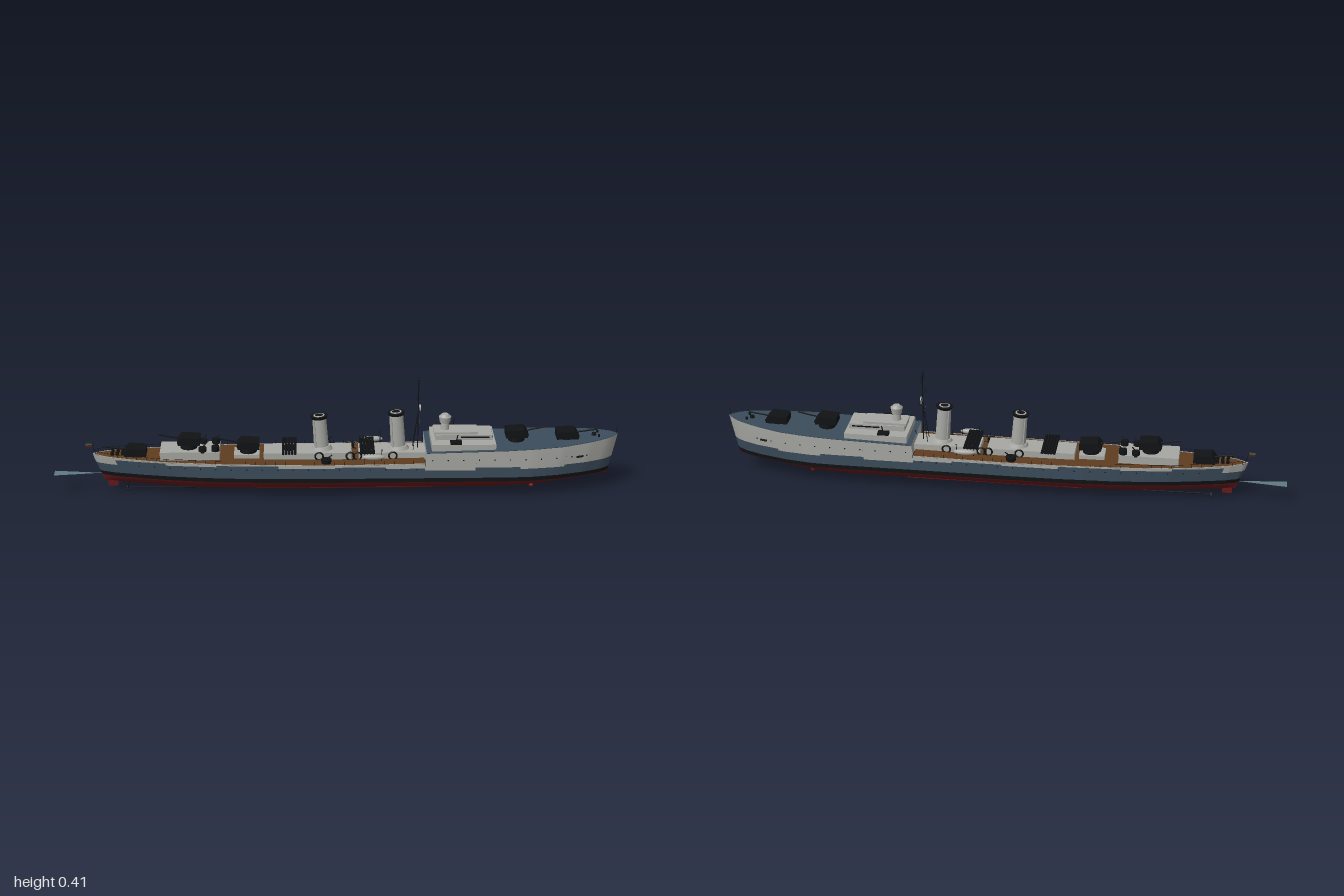
import * as THREE from 'three';

const mat = (name, color, side = THREE.FrontSide) => {
  const m = new THREE.MeshStandardMaterial({ color, side });
  m.name = name;
  return m;
};

// linear lookup in a short list of [x, value] points
const look = (pts, x) => {
  for (let i = 1; i < pts.length; i++) {
    if (x <= pts[i][0]) {
      const [a, va] = pts[i - 1], [b, vb] = pts[i];
      return va + (vb - va) * Math.max(0, (x - a) / (b - a));
    }
  }
  return pts[pts.length - 1][1];
};

const BEAM = [[-0.86, 0], [-0.85, 0.012], [-0.8, 0.032], [-0.7, 0.054], [-0.6, 0.07], [-0.4, 0.089], [-0.2, 0.098], [0, 0.1],
  [0.6, 0.1], [0.7, 0.097], [0.8, 0.086], [0.9, 0.061], [0.96, 0.036], [0.99, 0.014], [1, 0]];
const KEEL = [[-0.86, 0.042], [-0.7, 0.028], [-0.5, 0.012], [-0.3, 0.01], [0.55, 0.01], [0.7, 0.018], [0.85, 0.04], [1, 0.058]];
const AFT_SHEER = [[-0.86, 0.145], [-0.6, 0.138], [0, 0.134], [0.33, 0.138]];
const FORE_SHEER = [[0.32, 0.178], [0.6, 0.185], [0.8, 0.193], [1, 0.207]];
const BREAK = 0.32;
// stepped camouflage edge: [from, to, top of blue]
const CAMO = [[-0.86, -0.78, 0.115], [-0.78, -0.6, 0.134], [-0.6, -0.42, 0.126], [-0.42, -0.2, 0.131], [-0.2, 0, 0.122],
  [0, 0.18, 0.126], [0.18, BREAK, 0.12], [BREAK, 0.5, 0.112], [0.5, 0.66, 0.122], [0.66, 0.82, 0.115], [0.82, 1, 0.122]];

const sheer = (x) => look(x < BREAK ? AFT_SHEER : FORE_SHEER, x);

// hull point on the +z side for deck station x at height y
function hullPoint(x, y) {
  const s = (x + 0.86) / 1.86;
  const stern = -0.82 - 0.04 * Math.min(1, (y - 0.04) / 0.1);
  const stem = 0.968 + 0.032 * Math.min(1, (y - 0.058) / 0.149);
  const keel = look(KEEL, x);
  let w = look(BEAM, x);
  if (y < 0.07) w *= Math.pow(Math.max(0, 1 - Math.pow((0.07 - y) / (0.07 - keel), 1.5)), 0.8);
  const fine = Math.max(0, (x - 0.7) / 0.3) + Math.max(0, (-0.5 - x) / 0.36);
  w *= 1 - 0.2 * fine * Math.max(0, 1 - Math.max(0, y - 0.07) / 0.07);
  return [stern + (stem - stern) * s, y, w];
}

// smooth grid from f(u, v); its front is du x dv
function grid(f, nu, nv, flip = false) {
  const pos = [], idx = [];
  for (let j = 0; j <= nv; j++) for (let i = 0; i <= nu; i++) pos.push(...f(i / nu, j / nv));
  for (let j = 0; j < nv; j++) for (let i = 0; i < nu; i++) {
    const a = j * (nu + 1) + i, b = a + 1, c = a + nu + 1, d = c + 1;
    if (flip) idx.push(a, d, b, a, c, d);
    else idx.push(a, b, d, a, d, c);
  }
  const g = new THREE.BufferGeometry();
  g.setAttribute('position', new THREE.Float32BufferAttribute(pos, 3));
  g.setIndex(idx);
  g.computeVertexNormals();
  return g;
}

export function createModel() {
  const root = new THREE.Group();
  const grey = mat('light grey paint', 0xa6a7a2), blue = mat('blue grey paint', 0x3b4c5b), red = mat('red underwater paint', 0x641819),
    black = mat('black', 0x101214, THREE.DoubleSide), wood = mat('deck wood', 0x5f3d1f), wakeMat = mat('wake', 0x5f7a82, THREE.DoubleSide),
    green = mat('flag green', 0x2f6a3c, THREE.DoubleSide);

  const add = (name, geo, m, x = 0, y = 0, z = 0, parent = root) => {
    const mesh = new THREE.Mesh(geo, m);
    mesh.name = name;
    mesh.position.set(x, y, z);
    parent.add(mesh);
    return mesh;
  };
  // box spanning x0..x1 and y0..y1 with half width w
  const box = (name, m, x0, x1, y0, y1, w, z = 0, parent = root) =>
    add(name, new THREE.BoxGeometry(x1 - x0, y1 - y0, 2 * w), m, (x0 + x1) / 2, (y0 + y1) / 2, z, parent);
  const cyl = (name, m, rt, rb, h, x, y, z = 0, parent = root, n = 20) => add(name, new THREE.CylinderGeometry(rt, rb, h, n), m, x, y, z, parent);
  // thin rod between two points
  const rod = (name, m, a, b, r, parent = root) => {
    const A = new THREE.Vector3(...a), d = new THREE.Vector3(...b).sub(A);
    const mesh = cyl(name, m, r, r, d.length(), 0, 0, 0, parent, 6);
    mesh.position.copy(A).addScaledVector(d, 0.5);
    mesh.quaternion.setFromUnitVectors(new THREE.Vector3(0, 1, 0), d.normalize());
    return mesh;
  };

  // hull shell, both sides, in horizontal paint bands
  const band = (name, m, x0, x1, low, high, nu, nv) => {
    for (const s of [1, -1]) {
      add(name, grid((u, v) => {
        const x = x0 + (x1 - x0) * u, lo = low(x);
        const [px, py, pz] = hullPoint(x, lo + (high(x) - lo) * v);
        return [px, py, s * pz];
      }, nu, nv, s < 0), m);
    }
  };
  band('hullBottom', red, -0.86, 1, (x) => look(KEEL, x), () => 0.068, 93, 10);
  band('bootStripe', black, -0.86, 1, () => 0.068, () => 0.083, 93, 1);
  for (const [a, b, top] of CAMO) {
    const edge = b === BREAK ? AFT_SHEER : null;
    band('hullBlueBand', blue, a, b, () => 0.083, () => top, 14, 1);
    band('hullGreyBand', grey, a, b, () => top, (x) => (edge ? look(edge, x) : x === BREAK ? 0.178 : sheer(x)), 14, 2);
  }

  // decks, forecastle break and deck-edge strakes
  const deck = (name, m, x0, x1, pts) => add(name, grid((u, v) => {
    const x = x0 + (x1 - x0) * u, [px, py, w] = hullPoint(x, look(pts, x));
    return [px, py, w * (1 - 2 * v)];
  }, 50, 2), m);
  deck('aftDeck', wood, -0.86, BREAK, AFT_SHEER);
  deck('foreDeck', blue, BREAK, 1, FORE_SHEER);
  box('forecastleBreak', grey, 0.316, 0.324, 0.13, 0.178, 0.099);
  const edgeLine = (name, m, x0, x1, pts, rise, r) => {
    for (const s of [1, -1]) {
      const c = [];
      for (let i = 0; i <= 24; i++) {
        const x = x0 + (x1 - x0) * i / 24, p = hullPoint(x, look(pts, x));
        c.push(new THREE.Vector3(p[0], p[1] + rise, s * p[2]));
      }
      add(name, new THREE.TubeGeometry(new THREE.CatmullRomCurve3(c), 48, r, 4), m);
    }
  };
  edgeLine('aftDeckEdge', grey, -0.86, BREAK, AFT_SHEER, 0, 0.0016);
  edgeLine('foreDeckEdge', blue, BREAK, 1, FORE_SHEER, 0, 0.0016);
  edgeLine('sternRail', black, -0.86, -0.4, AFT_SHEER, 0.013, 0.0006);
  for (const s of [1, -1]) {
    for (let x = -0.84; x < 0.3; x += 0.035) {
      const [px, py, w] = hullPoint(x, sheer(x));
      rod('railPost', black, [px, py, s * w], [px, py + 0.013, s * w], 0.0007);
    }
    // portholes, anchor and bilge keel
    for (let x = -0.7; x < 0.95; x += 0.055) {
      const [px, py, w] = hullPoint(x, x < BREAK ? 0.117 : 0.15);
      add('porthole', new THREE.SphereGeometry(0.0025, 8, 6), black, px, py, s * w);
    }
    const a = hullPoint(0.87, 0.148);
    rod('anchor', black, [a[0] - 0.012, a[1], s * (a[2] + 0.005)], [a[0] + 0.012, a[1], s * (a[2] - 0.003)], 0.004);
    const k = [-0.3, 0.35].map((x) => hullPoint(x, 0.032));
    rod('bilgeKeel', red, [k[0][0], k[0][1], s * k[0][2]], [k[1][0], k[1][1], s * k[1][2]], 0.003);
    // propeller shafts and screws
    rod('propellerShaft', black, [-0.5, 0.026, s * 0.03], [-0.735, 0.03, s * 0.033], 0.002);
    for (let i = 0; i < 3; i++) {
      const blade = add('propellerBlade', new THREE.BoxGeometry(0.003, 0.026, 0.007), black, -0.738, 0.03, s * 0.033);
      blade.rotation.x = i * Math.PI / 3;
    }
  }
  box('rudder', red, -0.81, -0.775, 0.022, 0.06, 0.003);
  add('sonarDome', new THREE.SphereGeometry(0.009, 14, 10), red, 0.7, 0.009);

  // bridge block
  box('bridgeBase', grey, 0.335, 0.56, 0.17, 0.203, 0.086);
  box('bridgeHouse', grey, 0.35, 0.55, 0.2, 0.222, 0.042);
  box('bridgeRoof', grey, 0.345, 0.5, 0.222, 0.23, 0.036);
  box('bridgeWindows', black, 0.549, 0.552, 0.21, 0.216, 0.036);
  for (const s of [1, -1]) box('bridgeSideWindows', black, 0.44, 0.54, 0.211, 0.216, 0.001, s * 0.042);
  cyl('directorPedestal', grey, 0.013, 0.016, 0.03, 0.385, 0.243);
  cyl('directorHead', grey, 0.022, 0.018, 0.022, 0.385, 0.266);
  cyl('directorCap', grey, 0.012, 0.02, 0.01, 0.385, 0.281);
  for (const s of [1, -1]) {
    box('bridgeWing', black, 0.4, 0.44, 0.203, 0.212, 0.012, s * 0.072);
    rod('wingGun', black, [0.42, 0.21, s * 0.075], [0.425, 0.236, s * 0.077], 0.002);
  }

  // deckhouses
  box('aftDeckhouse', grey, -0.62, -0.41, 0.13, 0.167, 0.05);
  box('afterGunHouse', grey, -0.36, -0.27, 0.13, 0.15, 0.035);
  box('midDeckhouse', grey, -0.255, 0.055, 0.13, 0.158, 0.045);
  box('foreDeckhouse', grey, 0.08, 0.32, 0.13, 0.158, 0.045);

  // shielded guns: x, base height, direction of barrel
  for (const [x, y, dir] of [[0.82, 0.192, 1], [0.64, 0.186, 1], [-0.31, 0.149, -1], [-0.52, 0.166, -1], [-0.71, 0.139, -1]]) {
    const gun = new THREE.Group();
    gun.name = 'gunMount';
    gun.position.set(x, y, 0);
    gun.rotation.y = dir > 0 ? 0 : Math.PI;
    root.add(gun);
    const high = x === 0.64 || x === -0.52 || x === -0.31 ? 0.013 : 0;
    cyl('gunBase', black, 0.028, 0.03, 0.012 + high, 0, (0.012 + high) / 2, 0, gun);
    const side = new THREE.Shape([[-0.04, 0], [0.036, 0], [0.04, 0.012], [0.024, 0.03], [-0.04, 0.026]].map((p) => new THREE.Vector2(...p)));
    add('gunShield', new THREE.ExtrudeGeometry(side, { depth: 0.06, bevelEnabled: false }), black, 0, 0.004 + high, -0.03, gun);
    rod('gunBarrel', black, [0.025, 0.02 + high, 0], [0.105, 0.031 + high * 1.4, 0], 0.0026, gun);
  }

  // raked funnels with black caps
  for (const [x, top] of [[-0.05, 0.285], [0.222, 0.296]]) {
    const f = new THREE.Group();
    f.name = 'funnel';
    f.position.set(x, 0.15, 0);
    f.rotation.z = 0.07;
    f.scale.x = 1.15;
    root.add(f);
    const h = top - 0.15;
    cyl('funnelBase', grey, 0.027, 0.036, 0.02, 0, 0.01, 0, f, 28);
    cyl('funnelTrunk', grey, 0.021, 0.023, h - 0.008, 0, h / 2, 0, f, 28);
    cyl('funnelCap', black, 0.027, 0.023, 0.01, 0, h - 0.006, 0, f, 28);
    cyl('funnelTop', grey, 0.017, 0.017, 0.002, 0, h, 0, f, 28);
    cyl('funnelOpening', black, 0.012, 0.012, 0.002, 0, h + 0.001, 0, f, 28);
    for (const s of [1, -1]) rod('steamPipe', grey, [-0.017, 0, s * 0.019], [-0.016, h - 0.015, s * 0.016], 0.0025, f);
  }

  // torpedo tube banks lying across the ship
  for (const x of [-0.165, 0.11]) {
    cyl('torpedoTurntable', black, 0.022, 0.022, 0.012, x, 0.16);
    for (let i = -2; i <= 2; i++) rod('torpedoTube', black, [x + i * 0.0105, 0.168, -0.07], [x + i * 0.0105, 0.168, 0.07], 0.0056);
  }

  for (const s of [1, -1]) {
    // small guns on round platforms
    cyl('lightGunTub', black, 0.019, 0.017, 0.014, -0.035, 0.143, s * 0.078);
    rod('lightGun', black, [-0.035, 0.15, s * 0.078], [-0.015, 0.168, s * 0.085], 0.002);
    for (const [x, z] of [[-0.425, 0.035], [-0.47, 0.037]]) {
      cyl('depthChargeRack', black, 0.014, 0.014, 0.018, x, x < -0.45 ? 0.172 : 0.176, s * z);
      rod('chargeThrower', black, [x, 0.18, s * z], [x + 0.012, 0.198, s * (z + 0.006)], 0.002);
    }
    for (let i = 0; i < 4; i++) cyl('depthCharge', black, 0.006, 0.006, 0.012, -0.79 + i * 0.018, 0.15, s * 0.014, root, 10);
    // boats with davits
    const boat = add('shipBoat', new THREE.SphereGeometry(1, 20, 12), grey, 0.13, 0.158, s * 0.083);
    boat.scale.set(0.04, 0.01, 0.011);
    for (const x of [0.1, 0.16]) {
      rod('davitPost', black, [x, 0.137, s * 0.068], [x, 0.18, s * 0.072], 0.0015);
      rod('davitArm', black, [x, 0.18, s * 0.072], [x, 0.19, s * 0.09], 0.0015);
    }
    rod('signalBoom', black, [0.3, 0.215, s * 0.075], [0.3, 0.24, s * 0.098], 0.001);
    // life rings along the deckhouses
    for (const x of [-0.06, 0.05, 0.075, 0.2]) add('lifeRing', new THREE.TorusGeometry(0.014, 0.003, 8, 20), black, x, 0.148, s * 0.049);
  }

  // mast, yards and radar dish
  rod('mast', black, [0.29, 0.135, 0], [0.29, 0.415, 0], 0.0018);
  for (const s of [1, -1]) rod('mastLeg', black, [0.27, 0.135, s * 0.02], [0.29, 0.3, 0], 0.0012);
  for (const [y, w] of [[0.325, 0.075], [0.39, 0.035], [0.4, 0.035], [0.409, 0.035]])
    rod('yard', black, [0.29, y, -w], [0.29, y, w], 0.0008);
  cyl('radarDish', grey, 0.0135, 0.0135, 0.004, 0.296, 0.31, 0, root, 24).rotation.z = Math.PI / 2;

  // bow fittings
  for (const s of [1, -1]) cyl('bollard', black, 0.004, 0.004, 0.01, 0.93, 0.206, s * 0.02, root, 10);
  cyl('capstan', black, 0.007, 0.009, 0.01, 0.915, 0.205, 0, root, 14);
  rod('jackstaff', black, [0.993, 0.205, 0], [0.997, 0.23, 0], 0.0008);

  // stern flag and flat wake
  rod('ensignStaff', black, [-0.85, 0.143, 0], [-0.862, 0.185, 0], 0.001);
  box('ensignUpper', green, -0.884, -0.862, 0.177, 0.184, 0.0006);
  box('ensignLower', red, -0.884, -0.862, 0.17, 0.177, 0.0006);
  const wake = new THREE.Shape([[-0.83, 0], [-1, 0.021], [-1, -0.021]].map((p) => new THREE.Vector2(...p)));
  add('wake', new THREE.ShapeGeometry(wake), wakeMat, 0, 0.07, 0).rotation.x = -Math.PI / 2;

  return root;
}
